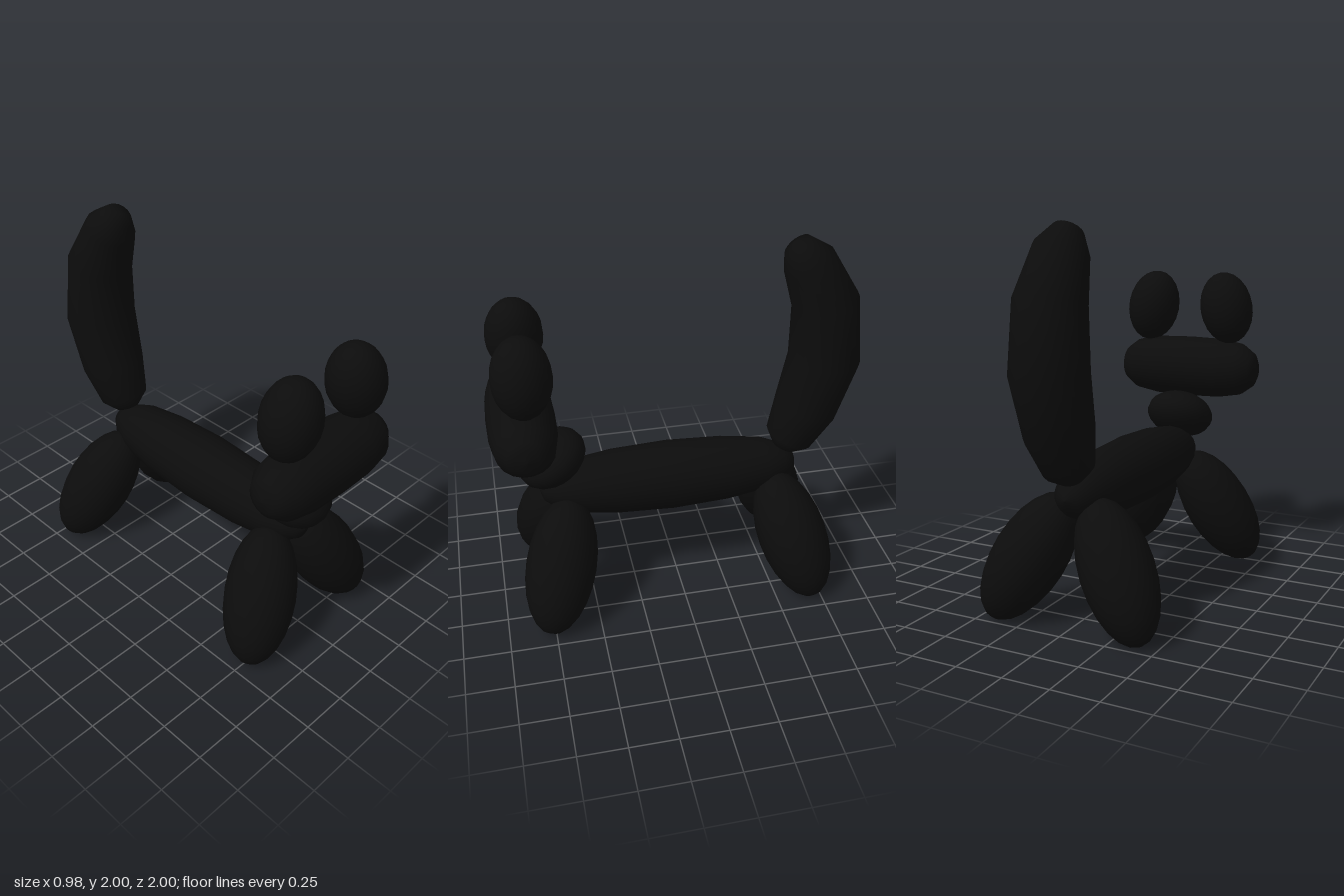
import * as THREE from 'three';
import { mergeVertices } from 'three/addons/utils/BufferGeometryUtils.js';

const SIDES = 18;
const UP = new THREE.Vector3(0, 1, 0);

export function createModel() {
  const model = new THREE.Group();
  model.name = 'balloonCat';
  const blackRubber = new THREE.MeshStandardMaterial({ color: 0x0c0c0c });
  blackRubber.name = 'blackRubber';

  function add(name, geometry, position, axis = [0, 1, 0]) {
    const mesh = new THREE.Mesh(geometry, blackRubber);
    mesh.name = name;
    mesh.position.set(...position);
    mesh.quaternion.setFromUnitVectors(UP, new THREE.Vector3(...axis).normalize());
    model.add(mesh);
    return mesh;
  }

  // Ellipsoid bubble: radius across, half length along its axis
  const bubble = (radius, half) =>
    new THREE.SphereGeometry(1, SIDES, 12).scale(radius, half, radius);

  // Long balloon, symmetric about its middle; half is [radius, offset] from tip to middle
  function sausage(half) {
    const lower = half.map(([r, y]) => new THREE.Vector2(r, -y));
    const upper = half.slice(0, -1).reverse().map(([r, y]) => new THREE.Vector2(r, y));
    return new THREE.LatheGeometry([...lower, ...upper], SIDES);
  }

  // Balloon bent in the yz plane; rings are [z, y, radius] from bottom to top
  function bentBalloon(rings) {
    const profile = rings.map(([, y, r]) => new THREE.Vector2(r, y));
    let geometry = new THREE.LatheGeometry(profile, SIDES);
    const pos = geometry.attributes.position;
    for (let i = 0; i < pos.count; i++) {
      const j = i % rings.length;
      const [z, y] = rings[j];
      const a = rings[Math.max(j - 1, 0)];
      const b = rings[Math.min(j + 1, rings.length - 1)];
      const tangent = new THREE.Vector2(b[0] - a[0], b[1] - a[1]).normalize();
      const across = pos.getZ(i);
      pos.setXYZ(i, pos.getX(i), y - across * tangent.x, z + across * tangent.y);
    }
    geometry.deleteAttribute('uv');
    geometry.deleteAttribute('normal');
    geometry = mergeVertices(geometry, 1e-4);
    geometry.computeVertexNormals();
    return geometry;
  }

  // Body and neck
  add('body', sausage([
    [0, 0.72], [0.06, 0.70], [0.105, 0.64], [0.147, 0.53], [0.177, 0.31], [0.19, 0],
  ]), [0, 0.67, 0.035], [0, 0, 1]);
  add('neck', bubble(0.195, 0.13), [0, 0.87, 0.677], [0, 0.88, 0.47]);

  // Wide head
  add('head', sausage([
    [0, 0.43], [0.06, 0.42], [0.1, 0.4], [0.15, 0.33], [0.173, 0.2], [0.178, 0],
  ]), [0, 1.14, 0.82], [1, 0, 0]);

  // Ears and splayed legs, mirrored
  for (const [side, s] of [['left', 1], ['right', -1]]) {
    add(side + 'Ear', bubble(0.152, 0.21), [s * 0.235, 1.5, 0.805], [-s * 0.2, 1, 0]);
    add(side + 'FrontLeg', bubble(0.19, 0.375), [s * 0.25, 0.335, 0.685], [-s * 0.465, 0.849, -0.25]);
    add(side + 'BackLeg', bubble(0.19, 0.375), [s * 0.25, 0.335, -0.613], [-s * 0.465, 0.849, 0.25]);
  }

  // Upright curved tail
  add('tail', bentBalloon([
    [-0.605, 0.75, 0], [-0.615, 0.77, 0.067], [-0.64, 0.832, 0.133], [-0.725, 1.02, 0.175],
    [-0.808, 1.31, 0.193], [-0.79, 1.64, 0.177], [-0.683, 1.87, 0.137],
    [-0.62, 1.955, 0.08], [-0.6, 1.978, 0],
  ]), [0, 0, 0]);

  return model;
}
